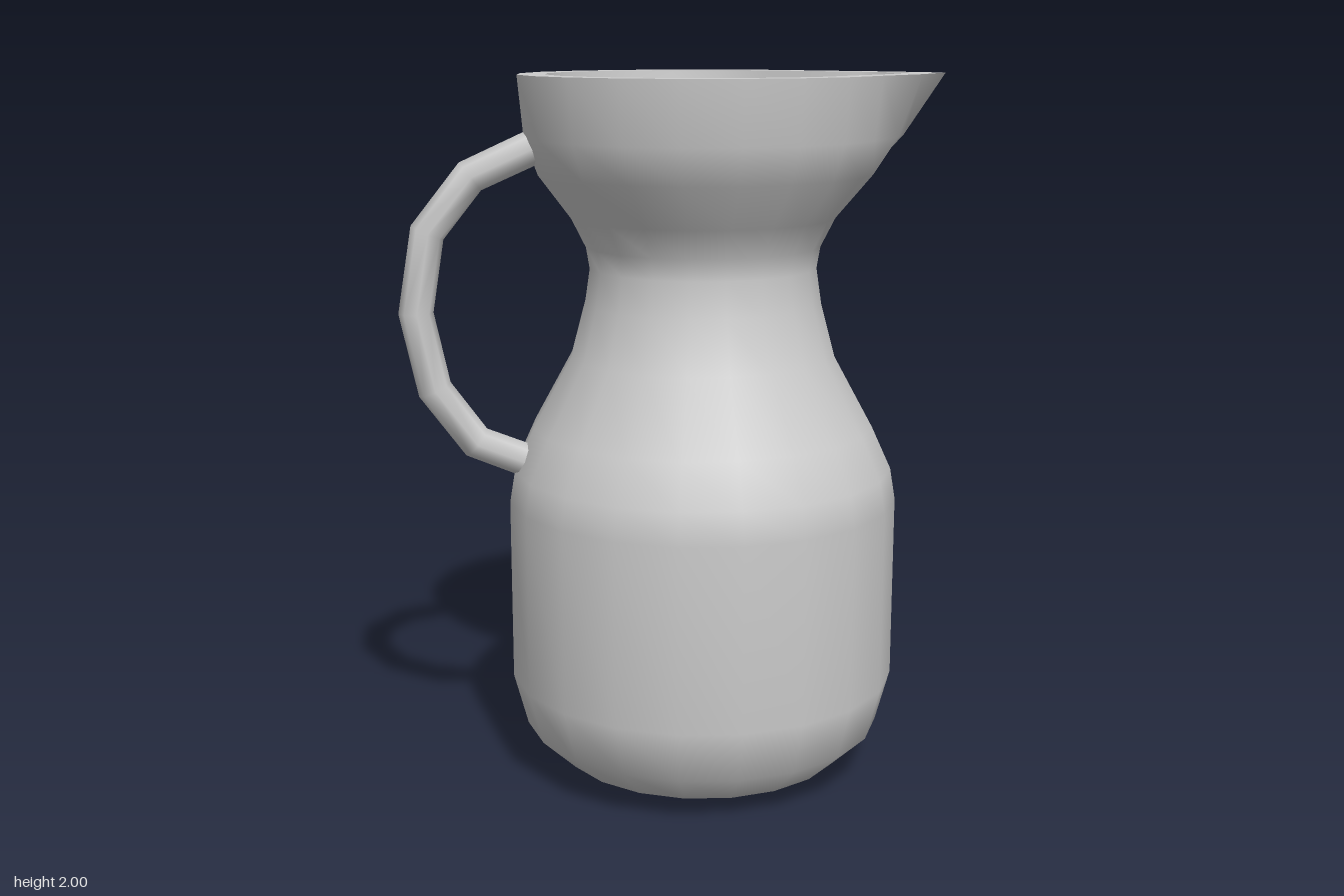
import * as THREE from 'three';

const SIDES = 20;
const CENTRE_X = 0.075;

// Pull of the spout on the rim vertices, by steps away from the tip: [dx, dz]
const SPOUT = [[0.185, 0], [0.09, 0], [0.01, -0.01]];

// Skin rings of [radius, y, spout weight]; rings run so that faces look outward
function loft(rings) {
  const pos = [], index = [];
  for (const [r, y, w = 0] of rings) {
    for (let j = 0; j < SIDES; j++) {
      const a = (j / SIDES) * Math.PI * 2;
      const [dx, dz] = SPOUT[Math.min(j, SIDES - j)] ?? [0, 0];
      const side = j <= SIDES / 2 ? 1 : -1;
      pos.push(CENTRE_X + r * Math.cos(a) + w * dx, y, r * Math.sin(a) + w * dz * side);
    }
  }
  for (let i = 0; i < rings.length - 1; i++) {
    for (let j = 0; j < SIDES; j++) {
      const k = (j + 1) % SIDES;
      const a = i * SIDES + j, b = i * SIDES + k;
      if (rings[i][0] > 0) index.push(a, b + SIDES, b);
      if (rings[i + 1][0] > 0) index.push(a, a + SIDES, b + SIDES);
    }
  }
  const g = new THREE.BufferGeometry();
  g.setAttribute('position', new THREE.Float32BufferAttribute(pos, 3));
  g.setIndex(index);
  g.computeVertexNormals();
  return g;
}

export function createModel() {
  const group = new THREE.Group();
  group.name = 'pitcher';
  const material = new THREE.MeshStandardMaterial({ color: 0xcccccc, side: THREE.DoubleSide });
  const add = (name, geometry) => {
    const mesh = new THREE.Mesh(geometry, material);
    mesh.name = name;
    group.add(mesh);
  };

  // Outer wall: rounded belly, narrow neck, flared mouth with spout
  add('outerWall', loft([
    [0.275, 0.005], [0.415, 0.045], [0.515, 0.14], [0.555, 0.29], [0.555, 0.81],
    [0.54, 0.9], [0.485, 1.02], [0.375, 1.22], [0.335, 1.37], [0.32, 1.47],
    [0.33, 1.53], [0.37, 1.61], [0.46, 1.73, 0.13], [0.497, 1.83, 0.45], [0.513, 2, 1],
  ]));
  add('base', loft([[0, 0], [0.275, 0.005]]));

  // Flat rim, then the cup inside the mouth
  add('rim', loft([[0.513, 2, 1], [0.435, 2, 0.84]]));
  add('innerWall', loft([[0.435, 2, 0.84], [0.42, 1.84, 0.4], [0.385, 1.74, 0.12], [0.312, 1.64]]));
  add('innerFloor', loft([[0.312, 1.64], [0, 1.64]]));

  // Handle: faceted bow with both ends sunk into the wall
  const bow = new THREE.CatmullRomCurve3([
    [-0.385, 1.812], [-0.57, 1.73], [-0.69, 1.58], [-0.727, 1.36],
    [-0.682, 1.145], [-0.57, 0.99], [-0.4, 0.918],
  ].map(([x, y]) => new THREE.Vector3(x, y, 0)));
  // Place the tube rings exactly on the points
  bow.getPointAt = (t, target) => bow.getPoint(t, target);
  bow.getTangentAt = (t, target) => bow.getTangent(t, target);
  add('handle', new THREE.TubeGeometry(bow, 6, 0.048, 8, false));

  return group;
}
